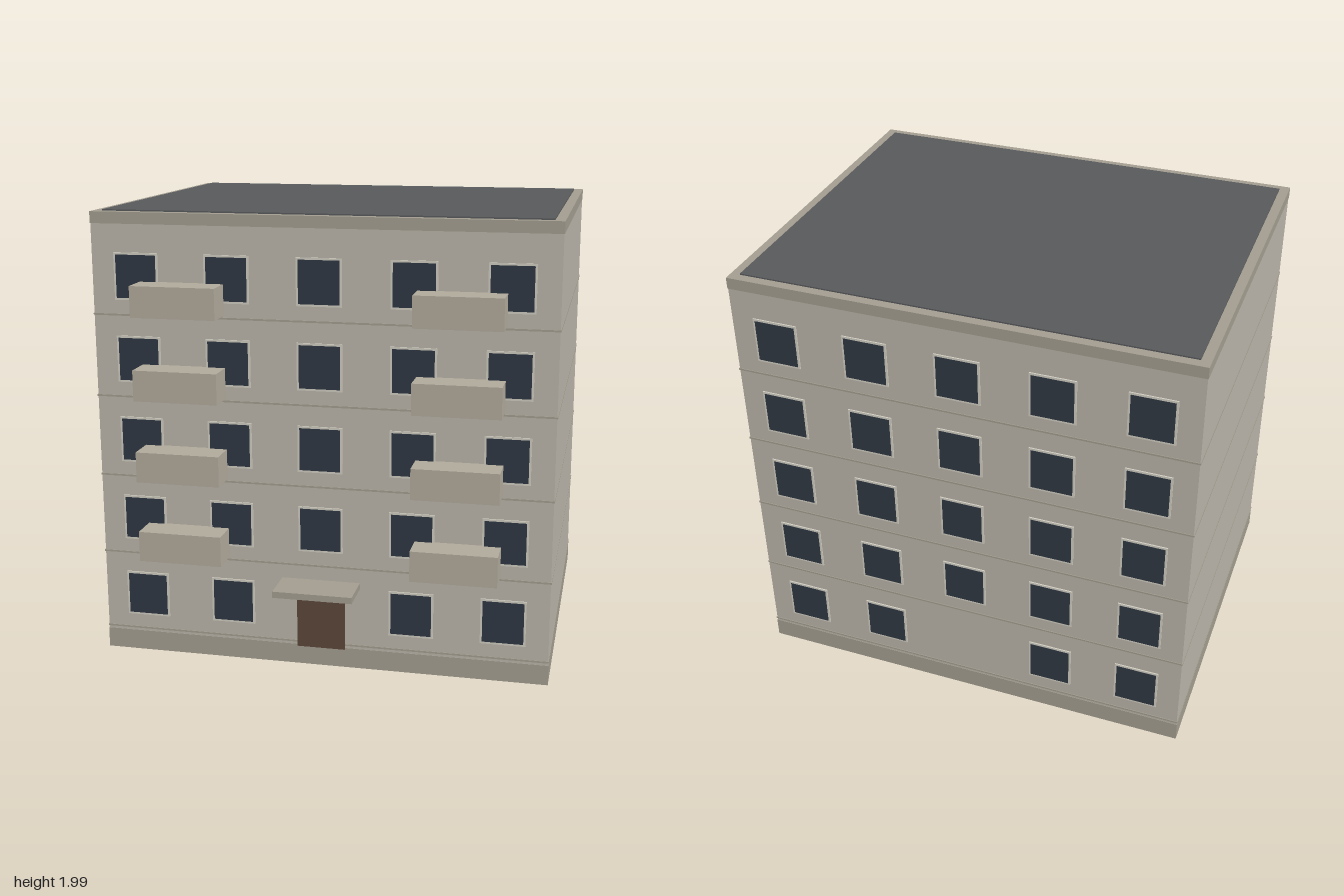
import * as THREE from 'three';

const FRONT = 0.715, BACK = -0.883, MID = (FRONT + BACK) / 2, DEPTH = FRONT - BACK;
const FLOORS = 5, STOREY = 0.36;

const paint = (color) => new THREE.MeshStandardMaterial({ color });
const wall = paint(0xb9b3a9);
const trim = paint(0xa29d8f);
const panel = paint(0xb0a99b);
const roofing = paint(0x58595b);
const frameWhite = paint(0xcfccc0);
const glass = paint(0x2e3742);
const wood = paint(0x5c4638);

function box(parent, name, material, w, h, d, x, y, z) {
  const mesh = new THREE.Mesh(new THREE.BoxGeometry(w, h, d), material);
  mesh.name = name;
  mesh.position.set(x, y, z);
  parent.add(mesh);
  return mesh;
}

// Framed window standing slightly proud of the wall, facing +z
function makeWindow(x, y, z, back) {
  const win = new THREE.Group();
  win.name = back ? 'backWindow' : 'frontWindow';
  box(win, 'windowFrame', frameWhite, 0.196, 0.204, 0.01, 0, 0, 0);
  box(win, 'windowGlass', glass, 0.178, 0.186, 0.012, 0, 0, 0.0005);
  win.position.set(x, y, z);
  if (back) win.rotation.y = Math.PI;
  return win;
}

export function createModel() {
  const building = new THREE.Group();
  building.name = 'apartmentBlock';

  // Main volume: plinth, walls, parapet and roof
  box(building, 'plinth', trim, 1.998, 0.09, DEPTH + 0.002, 0, 0.045, MID);
  box(building, 'walls', wall, 1.994, 1.85, DEPTH - 0.002, 0, 1.013, MID);
  box(building, 'parapet', trim, 1.998, 0.05, DEPTH + 0.002, 0, 1.96, MID);
  box(building, 'roof', roofing, 1.914, 0.03, 1.518, 0, 1.976, MID);

  for (let floor = 0; floor < FLOORS; floor++) {
    const base = floor * STOREY;

    // Thin joint band around each storey
    box(building, 'floorBand', trim, 2, 0.008, DEPTH + 0.004, 0, 0.105 + base, MID);

    // Five windows per side, with the ground floor centre left free
    for (let column = -2; column <= 2; column++) {
      if (floor === 0 && column === 0) continue;
      const x = column * 0.4, y = 0.272 + base;
      building.add(makeWindow(x, y, FRONT, false));
      building.add(makeWindow(x, y, BACK, true));
    }

    // Solid balconies on the upper storeys
    if (floor > 0) {
      for (const side of [-1, 1]) {
        box(building, 'balcony', panel, 0.37, 0.134, 0.136, side * 0.598, 0.185 + base, 0.78);
      }
    }
  }

  // Entrance
  box(building, 'door', wood, 0.214, 0.266, 0.014, 0, 0.217, FRONT);
  box(building, 'doorCanopy', trim, 0.348, 0.028, 0.178, 0, 0.386, 0.799);

  return building;
}
